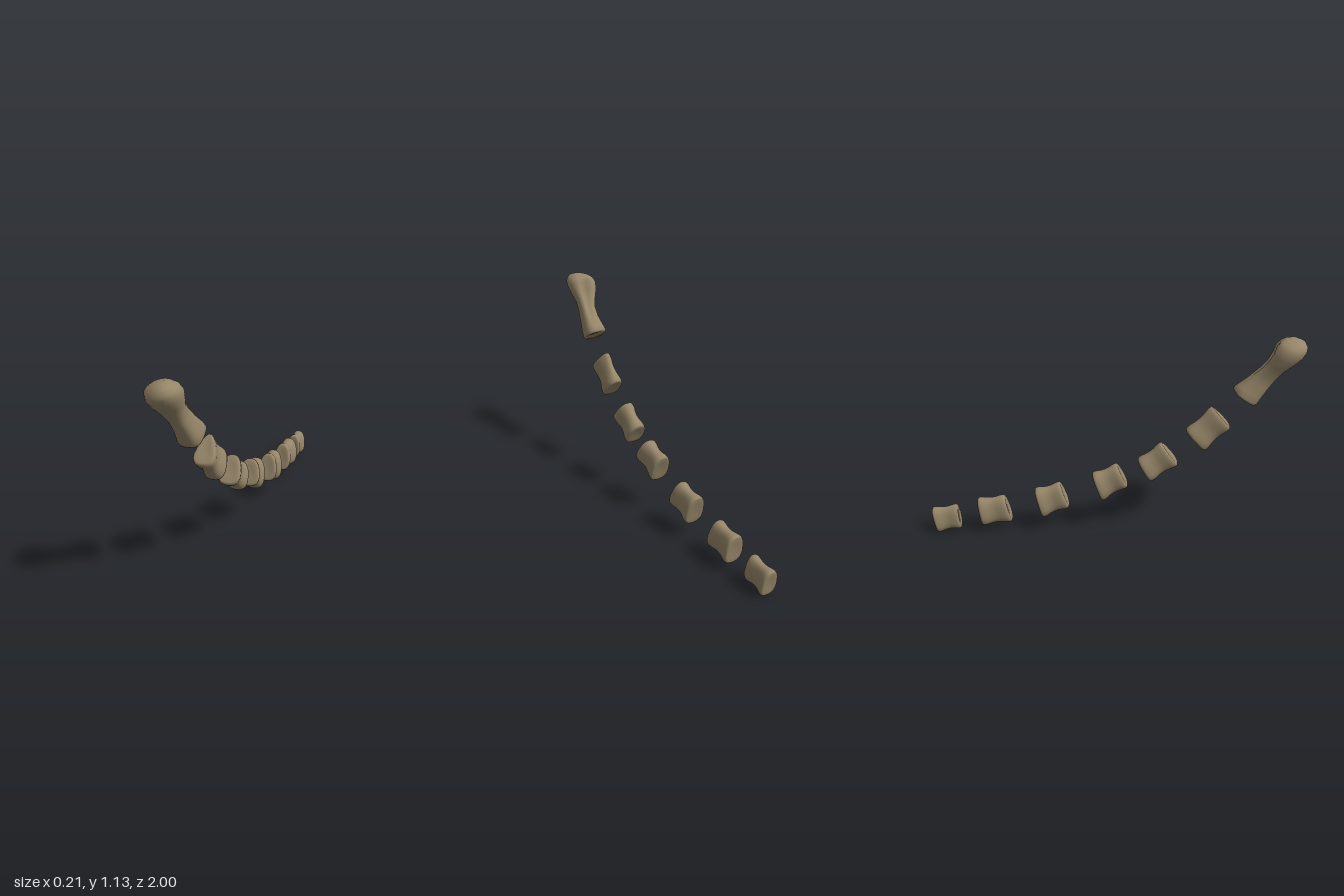
import * as THREE from 'three';

const bone = new THREE.MeshStandardMaterial({ color: 0x968669 });
bone.name = 'fossil brown';

const SIDES = 32;
const lerp = THREE.MathUtils.lerp;
const power = (s, n) => Math.sign(s) * Math.abs(s) ** (2 / n);

// One ring: a = lower edge [z, y], b = upper edge [z, y], x = [min, max].
// taper narrows the upper side, groove dents it, sx and sv scale the ring.
function ring({ a, b, x, taper = 0, groove = 0, sx = 1, sv = 1, n = 2.6 }) {
  const points = [];
  for (let j = 0; j < SIDES; j++) {
    const angle = (j / SIDES) * Math.PI * 2;
    let v = power(Math.sin(angle), n);
    const u = power(Math.cos(angle), n) * (1 - taper * ((v + 1) / 2) ** 1.5);
    if (v > 0) v -= groove * Math.exp(-(((u - 0.2) / 0.33) ** 2));
    const k = (v * sv + 1) / 2;
    points.push(
      (x[0] + x[1]) / 2 + (u * sx * (x[1] - x[0])) / 2,
      lerp(a[1], b[1], k),
      lerp(a[0], b[0], k)
    );
  }
  return points;
}

// Skin a list of sections, ordered back to front, and close both ends.
function loft(name, sections, startCentre, endCentre) {
  const position = sections.flatMap(ring);
  const index = [];
  const count = sections.length;
  const start = count * SIDES;
  position.push(...startCentre, ...endCentre);
  for (let j = 0; j < SIDES; j++) {
    const next = (j + 1) % SIDES;
    for (let i = 0; i < count - 1; i++) {
      const p = i * SIDES, q = p + SIDES;
      index.push(p + j, p + next, q + next, p + j, q + next, q + j);
    }
    const last = (count - 1) * SIDES;
    index.push(start, next, j, start + 1, last + j, last + next);
  }
  const geometry = new THREE.BufferGeometry();
  geometry.setAttribute('position', new THREE.Float32BufferAttribute(position, 3));
  geometry.setIndex(index);
  geometry.computeVertexNormals();
  const mesh = new THREE.Mesh(geometry, bone);
  mesh.name = name;
  return mesh;
}

// Waisted block: [place along the bone, width scale, height scale]
const WAIST = [
  [0.02, 0.5, 0.5], [0, 0.82, 0.86], [0.03, 0.95, 0.96], [0.09, 1, 1], [0.2, 0.96, 0.98],
  [0.35, 0.84, 0.92], [0.5, 0.79, 0.9], [0.65, 0.84, 0.92], [0.8, 0.96, 0.98],
  [0.91, 1, 1], [0.97, 0.95, 0.96], [1, 0.82, 0.86], [0.98, 0.5, 0.5],
];

function vertebra(name, { backLow, backTop, frontLow, frontTop, backX, frontX, taper }) {
  const mix = (p, q, t) => [lerp(p[0], q[0], t), lerp(p[1], q[1], t)];
  const sections = WAIST.map(([t, sx, sv]) => ({
    a: mix(backLow, frontLow, t),
    b: mix(backTop, frontTop, t),
    x: mix(backX, frontX, t),
    taper: lerp(0.25, taper, t),
    sx, sv,
  }));
  const centre = (t) => {
    const [z, y] = mix(mix(backLow, frontLow, t), mix(backTop, frontTop, t), 0.5);
    const [l, r] = mix(backX, frontX, t);
    return [(l + r) / 2, y, z];
  };
  return loft(name, sections, centre(0.03), centre(0.97));
}

// Blocks from the front of the chain to its tail, corners as [z, y]
const BLOCKS = [
  { frontTop: [0.535, 0.75], frontLow: [0.645, 0.63], backTop: [0.4, 0.61], backLow: [0.51, 0.49],
    frontX: [-0.05, 0.075], backX: [-0.042, 0.075], taper: 0.65 },
  { frontTop: [0.275, 0.532], frontLow: [0.375, 0.405], backTop: [0.145, 0.43], backLow: [0.222, 0.3],
    frontX: [-0.036, 0.092], backX: [-0.036, 0.088], taper: 0.35 },
  { frontTop: [0.035, 0.4], frontLow: [0.1, 0.268], backTop: [-0.105, 0.345], backLow: [-0.045, 0.18],
    frontX: [-0.03, 0.104], backX: [-0.034, 0.09], taper: 0.35 },
  { frontTop: [-0.28, 0.29], frontLow: [-0.228, 0.14], backTop: [-0.425, 0.255], backLow: [-0.38, 0.08],
    frontX: [-0.026, 0.096], backX: [-0.036, 0.088], taper: 0.35 },
  { frontTop: [-0.59, 0.218], frontLow: [-0.55, 0.058], backTop: [-0.745, 0.2], backLow: [-0.72, 0.035],
    frontX: [-0.03, 0.08], backX: [-0.035, 0.085], taper: 0.3 },
  { frontTop: [-0.855, 0.168], frontLow: [-0.838, 0.022], backTop: [-1, 0.148], backLow: [-0.972, 0],
    frontX: [-0.028, 0.064], backX: [-0.036, 0.066], taper: 0.3 },
];

// Long end bone: flared foot, slim shaft, swollen knob grooved behind
const LONG_BONE = [
  { a: [0.735, 0.785], b: [0.675, 0.825], x: [-0.035, 0.035] },
  { a: [0.755, 0.765], b: [0.65, 0.835], x: [-0.06, 0.055] },
  { a: [0.768, 0.775], b: [0.642, 0.852], x: [-0.065, 0.061] },
  { a: [0.788, 0.808], b: [0.665, 0.873], x: [-0.06, 0.056] },
  { a: [0.822, 0.86], b: [0.715, 0.915], x: [-0.052, 0.045], groove: 0.1 },
  { a: [0.856, 0.912], b: [0.762, 0.962], x: [-0.055, 0.036], groove: 0.25 },
  { a: [0.89, 0.958], b: [0.797, 1.01], x: [-0.08, 0.035], groove: 0.4, n: 2.3 },
  { a: [0.932, 0.995], b: [0.82, 1.06], x: [-0.106, 0.048], groove: 0.45, n: 2.2 },
  { a: [0.975, 1.032], b: [0.83, 1.1], x: [-0.112, 0.055], groove: 0.28, n: 2.1 },
  { a: [0.995, 1.062], b: [0.855, 1.118], x: [-0.103, 0.053], groove: 0.08, n: 2 },
  { a: [1, 1.085], b: [0.885, 1.128], x: [-0.08, 0.042], n: 2 },
  { a: [0.987, 1.11], b: [0.92, 1.132], x: [-0.045, 0.022], n: 2 },
];

export function createModel() {
  const model = new THREE.Group();
  model.name = 'bone chain';
  model.add(loft('longEndBone', LONG_BONE, [0, 0.806, 0.706], [-0.012, 1.127, 0.956]));
  BLOCKS.forEach((block, i) => model.add(vertebra(`vertebra${i + 1}`, block)));
  return model;
}
